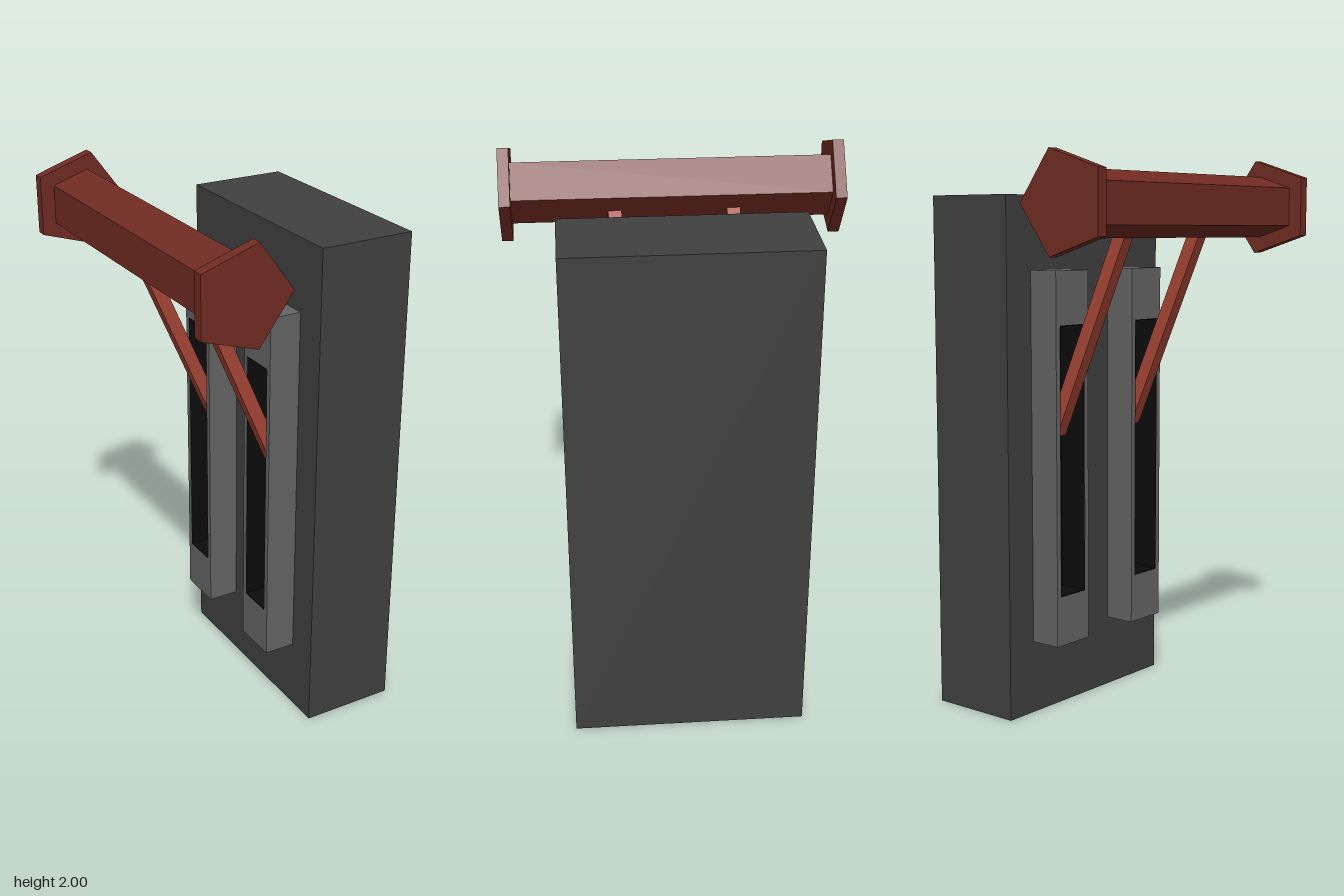
import * as THREE from 'three';

function material(name, color) {
  const m = new THREE.MeshStandardMaterial({ color, flatShading: true });
  m.name = name;
  return m;
}

export function createModel() {
  const charcoal = material('charcoal', 0x404040);
  const grey = material('grey', 0x646464);
  const black = material('black', 0x0c0c0c);
  const darkRed = material('dark red', 0x702b22);
  const lightRed = material('light red', 0xa84636);

  const model = new THREE.Group();
  model.name = 'wallLever';

  function add(name, geometry, mat, x, y, z, parent = model) {
    const mesh = new THREE.Mesh(geometry, mat);
    mesh.name = name;
    mesh.position.set(x, y, z);
    parent.add(mesh);
    return mesh;
  }

  // Five-sided bar lying along z, one corner pointing to +x
  function pentagonBar(radius, length) {
    return new THREE.CylinderGeometry(radius, radius, length, 5, 1, false, Math.PI / 2).rotateX(Math.PI / 2);
  }

  // Rectangular frame in the z-y plane, extruded along +x
  function frame(w, y0, y1, holeW, holeY0, holeY1, depth) {
    const outline = (Type, hw, a, b) => new Type([[-hw, a], [hw, a], [hw, b], [-hw, b]].map(p => new THREE.Vector2(...p)));
    const shape = outline(THREE.Shape, w / 2, y0, y1);
    shape.holes.push(outline(THREE.Path, holeW / 2, holeY0, holeY1));
    return new THREE.ExtrudeGeometry(shape, { depth, bevelEnabled: false }).rotateY(Math.PI / 2);
  }

  // Housing
  add('housing', new THREE.BoxGeometry(0.353, 1.865, 0.845), charcoal, 0.278, 0.9325, -0.008);

  // Handle bar with wider end caps
  const hx = -0.308, hy = 1.829;
  add('handleBar', pentagonBar(0.118, 1.15), darkRed, hx, hy, 0);
  for (const side of [-1, 1]) {
    add('handleEndCap', pentagonBar(0.18, 0.04), darkRed, hx, hy, side * 0.589);
  }

  // Slotted rails, each with an arm running from its slot up to the handle
  const top = new THREE.Vector2(-0.27, 1.786);
  const foot = new THREE.Vector2(0.06, 1.026);
  const armLength = top.distanceTo(foot);
  const armTilt = Math.atan2(foot.x - top.x, top.y - foot.y);
  for (const z of [-0.221, 0.204]) {
    const unit = new THREE.Group();
    unit.name = 'railAndArm';
    unit.position.z = z;
    model.add(unit);

    add('rail', frame(0.172, 0.265, 1.605, 0.132, 0.445, 1.415, 0.118), grey, -0.015, 0, 0, unit);
    add('slotLining', frame(0.132, 0.445, 1.415, 0.128, 0.449, 1.411, 0.116), black, -0.0145, 0, 0, unit);
    add('slotBack', new THREE.BoxGeometry(0.006, 0.966, 0.13), black, 0.097, 0.93, 0, unit);

    const arm = add('arm', new THREE.BoxGeometry(0.048, armLength, 0.048), lightRed,
      (top.x + foot.x) / 2, (top.y + foot.y) / 2, 0, unit);
    arm.rotation.z = armTilt;
  }

  return model;
}
